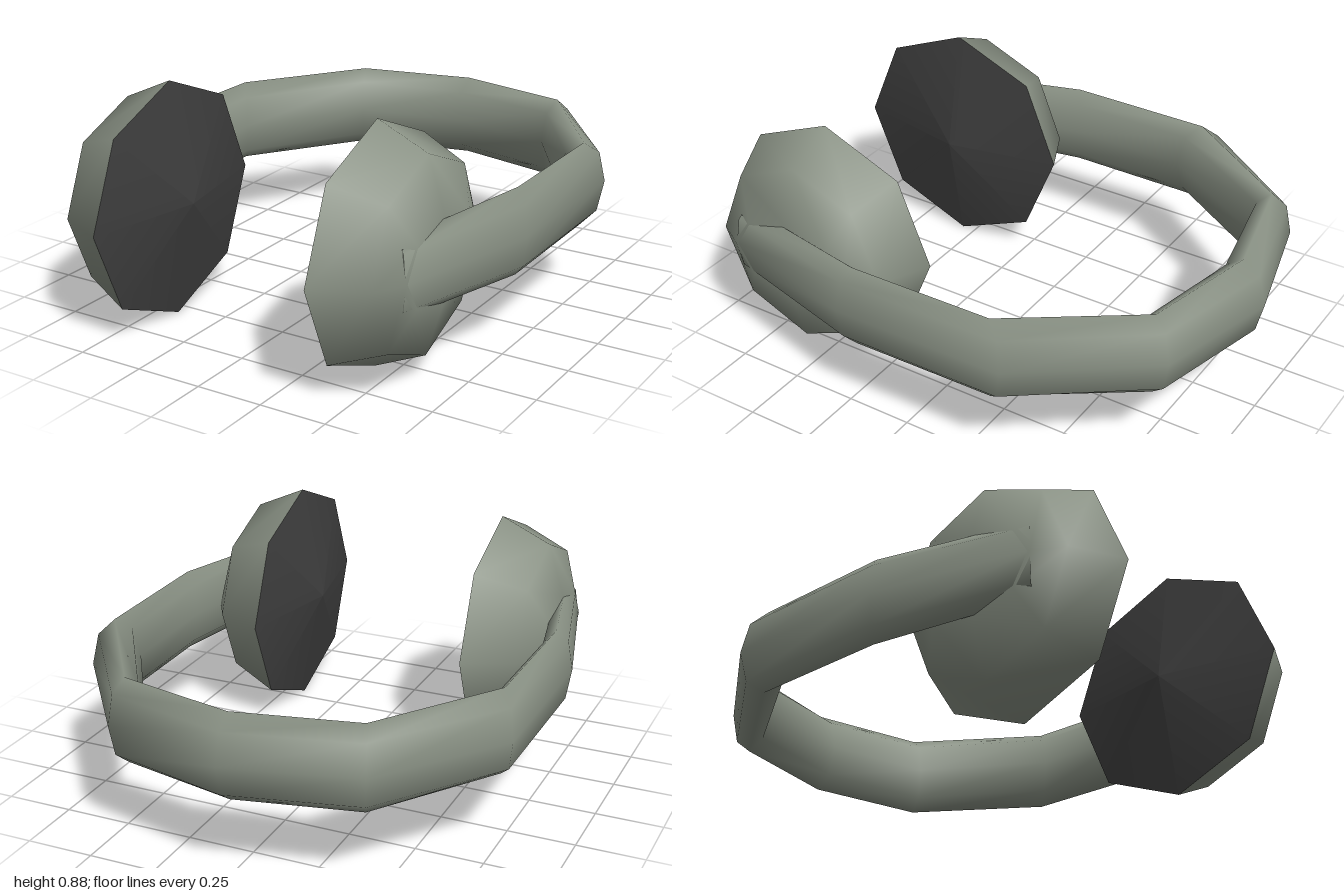
import * as THREE from 'three';

const V = (x, y, z) => new THREE.Vector3(x, y, z);
const SIDES = 8;
const MID_Y = 0.447;
const CUP_Z = 0.555;

// Smooth skin over closed rings; optional fan caps at both ends
function loft(rings, capStart, capEnd) {
  const pos = [], idx = [], n = SIDES;
  rings.forEach(r => r.forEach(p => pos.push(p.x, p.y, p.z)));
  for (let i = 0; i < rings.length - 1; i++) {
    for (let j = 0; j < n; j++) {
      const a = i * n + j, b = i * n + (j + 1) % n;
      idx.push(a, b, a + n, b, b + n, a + n);
    }
  }
  const cap = (i, flip) => {
    for (let j = 1; j < n - 1; j++) {
      const a = i * n;
      idx.push(a, a + (flip ? j + 1 : j), a + (flip ? j : j + 1));
    }
  };
  if (capStart) cap(0, true);
  if (capEnd) cap(rings.length - 1, false);
  const g = new THREE.BufferGeometry();
  g.setAttribute('position', new THREE.Float32BufferAttribute(pos, 3));
  g.setIndex(idx);
  g.computeVertexNormals();
  return g;
}

function ring(fn) {
  return Array.from({ length: SIDES }, (_, j) => {
    const t = j / SIDES * Math.PI * 2;
    return fn(Math.cos(t), Math.sin(t));
  });
}

export function createModel() {
  const group = new THREE.Group();
  const shell = new THREE.MeshStandardMaterial({ color: 0x8b9386 });
  shell.name = 'grey green shell';
  const cushion = new THREE.MeshStandardMaterial({ color: 0x3e3e3e });
  cushion.name = 'dark cushion';

  // Headband: outer x, outer z, inner x, inner z, half height, for the left half
  const half = [
    [0, -1, 0, -0.815, 0.16],
    [0.475, -0.88, 0.415, -0.735, 0.16],
    [0.815, -0.435, 0.697, -0.29, 0.16],
    [0.82, 0.23, 0.705, 0.16, 0.16],
    [0.675, 0.8, 0.585, 0.74, 0.14],
  ];
  const mirrored = half.slice(1).reverse().map(([a, b, c, d, h]) => [-a, b, -c, d, h]);
  const bandRings = [...mirrored, ...half].map(([ox, oz, ix, iz, h]) => ring((c, s) => {
    const k = (1 + c) / 2;
    return V(ix + (ox - ix) * k, MID_Y + h * s, iz + (oz - iz) * k);
  }));
  const band = new THREE.Mesh(loft(bandRings, true, true), shell);
  band.name = 'headband';
  group.add(band);

  // Ear cup sections: x, half height, half depth
  const cupRings = [
    [0.423, 0.442, 0.442],
    [0.615, 0.355, 0.353],
    [0.677, 0.155, 0.248],
  ].map(([x, h, d]) => ring((c, s) => V(x, h * c, d * s)));
  const cupGeo = loft(cupRings, false, true);

  // Cushion: shallow cone pointing at the ear
  const padGeo = new THREE.ConeGeometry(0.442, 0.088, SIDES, 1, true);
  padGeo.rotateZ(Math.PI / 2);
  padGeo.translate(0.423 - 0.044, 0, 0);

  for (const [side, turn] of [['left', 0], ['right', Math.PI]]) {
    const ear = new THREE.Group();
    ear.name = side + 'EarPiece';
    const cup = new THREE.Mesh(cupGeo, shell);
    cup.name = side + 'EarCup';
    const pad = new THREE.Mesh(padGeo, cushion);
    pad.name = side + 'Cushion';
    ear.add(cup, pad);
    ear.position.set(0, MID_Y, CUP_Z);
    ear.rotation.y = turn;
    group.add(ear);
  }
  return group;
}
